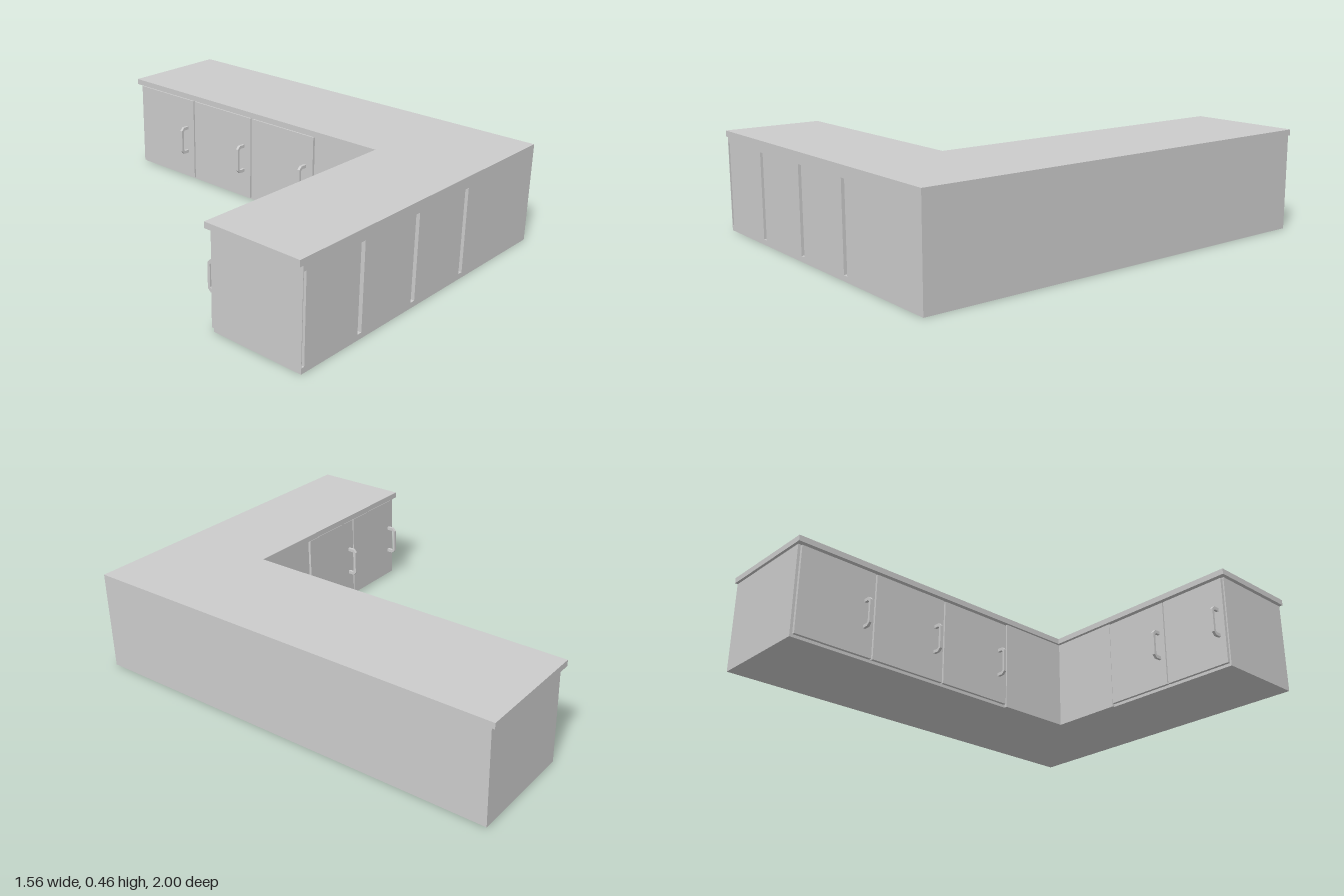
import * as THREE from 'three';

const material = new THREE.MeshStandardMaterial({ color: 0xcccccc, flatShading: true });

function add(parent, name, geometry) {
  const mesh = new THREE.Mesh(geometry, material);
  mesh.name = name;
  parent.add(mesh);
  return mesh;
}

// Box given by its lower and upper corners
function block(parent, name, [x0, y0, z0], [x1, y1, z1]) {
  const mesh = add(parent, name, new THREE.BoxGeometry(x1 - x0, y1 - y0, z1 - z0));
  mesh.position.set((x0 + x1) / 2, (y0 + y1) / 2, (z0 + z1) / 2);
  return mesh;
}

function polygon(points, Type = THREE.Shape) {
  return new Type(points.map(([x, y]) => new THREE.Vector2(x, y)));
}

function rectangle(x0, y0, x1, y1, Type) {
  return polygon([[x0, y0], [x1, y0], [x1, y1], [x0, y1]], Type);
}

// Bracket handle: profile in x (outward) and y, thickness along z
function handleGeometry() {
  const shape = polygon([
    [0, -0.07], [0.03, -0.07], [0.045, -0.055], [0.045, 0.055], [0.03, 0.07], [0, 0.07],
    [0, 0.055], [0.026, 0.055], [0.033, 0.048], [0.033, -0.048], [0.026, -0.055], [0, -0.055],
  ]);
  const geometry = new THREE.ExtrudeGeometry(shape, { depth: 0.013, bevelEnabled: false });
  return geometry.translate(0, 0, -0.0065);
}

export function createModel() {
  const model = new THREE.Group();
  model.name = 'cornerCounter';
  const topY = 0.457, bodyY = 0.43;

  // L-shaped worktop, overhanging the doors and both free ends
  const outline = polygon([
    [-0.78, -1], [0.78, -1], [0.78, 1], [0.25, 1], [0.25, -0.54], [-0.78, -0.54],
  ]);
  const top = new THREE.ExtrudeGeometry(outline, { depth: topY - bodyY, bevelEnabled: false });
  add(model, 'worktop', top.rotateX(-Math.PI / 2).translate(0, bodyY, 0));

  // Short wing with tall slots in its outer face
  const face = rectangle(-0.762, 0, 0.78, bodyY);
  for (const [a, b] of [[-0.759, -0.745], [-0.44, -0.416], [-0.1, -0.075], [0.241, 0.266]]) {
    face.holes.push(rectangle(a, 0.025, b, 0.406, THREE.Path));
  }
  const wing = new THREE.ExtrudeGeometry(face, { depth: 0.4, bevelEnabled: false });
  add(model, 'shortCabinet', wing.translate(0, 0, 0.6));
  block(model, 'shortCabinetInnerWall', [-0.762, 0, 0.567], [0.78, bodyY, 0.6]);

  // Long wing
  block(model, 'longCabinet', [0.277, 0, -0.987], [0.78, bodyY, 0.567]);

  // Doors and handles along the long wing
  const handle = handleGeometry();
  for (let i = 0; i < 3; i++) {
    const z = -0.98 + i * 0.39;
    block(model, 'longWingDoor', [0.26, 0.012, z + 0.004], [0.274, 0.422, z + 0.386]);
    block(model, 'longWingDoorBacking', [0.27, 0.016, z + 0.008], [0.28, 0.418, z + 0.382]);
    const grip = add(model, 'longWingHandle', handle);
    grip.rotation.y = Math.PI;
    grip.position.set(0.26, 0.21, z + 0.34);
  }

  // Doors and handles along the short wing
  for (let i = 0; i < 2; i++) {
    const x = -0.76 + i * 0.336;
    block(model, 'shortWingDoor', [x + 0.003, 0.012, 0.55], [x + 0.333, 0.422, 0.564]);
    block(model, 'shortWingDoorBacking', [x + 0.007, 0.016, 0.56], [x + 0.329, 0.418, 0.57]);
    const grip = add(model, 'shortWingHandle', handle);
    grip.rotation.y = Math.PI / 2;
    grip.position.set(x + 0.035, 0.21, 0.55);
  }

  // Fixed panels closing the inner corner
  block(model, 'longWingCornerPanel', [0.262, 0, 0.194], [0.28, bodyY, 0.57]);
  block(model, 'shortWingCornerPanel', [-0.084, 0, 0.556], [0.28, bodyY, 0.57]);

  return model;
}
